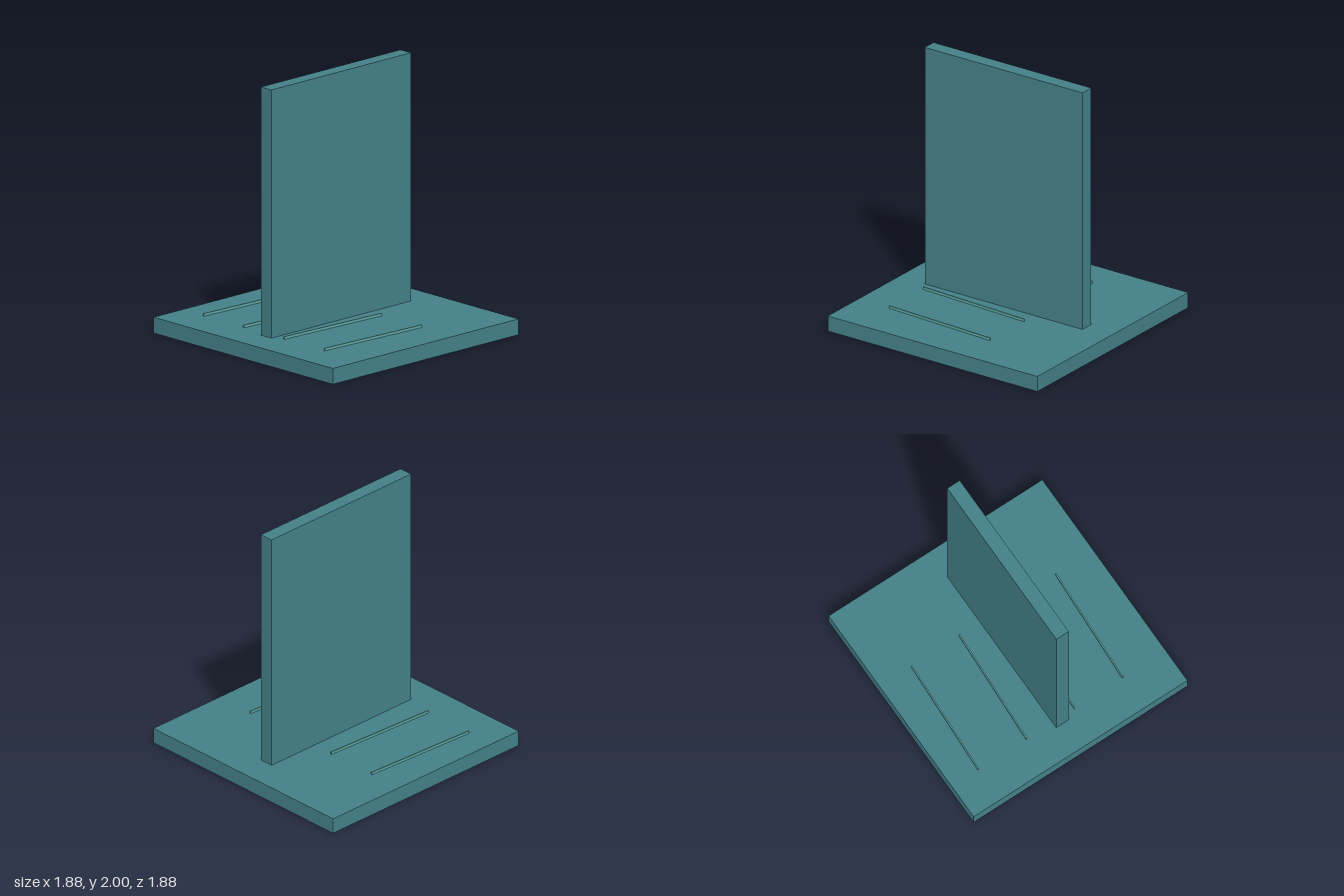
import * as THREE from 'three';

export function createModel() {
  const model = new THREE.Group();

  const teal = new THREE.MeshStandardMaterial({ color: 0x437f87 });
  teal.name = 'teal';
  const paleTeal = new THREE.MeshStandardMaterial({ color: 0x5fa8a3 });
  paleTeal.name = 'paleTeal';

  const addBox = (name, size, position, material) => {
    const mesh = new THREE.Mesh(new THREE.BoxGeometry(...size), material);
    mesh.name = name;
    mesh.position.set(...position);
    model.add(mesh);
    return mesh;
  };

  // Square base slab and the upright panel standing on it
  addBox('base', [1.88, 0.12, 1.88], [0, 0.06, 0], teal);
  addBox('uprightPanel', [1.414, 1.88, 0.11], [0, 1.06, 0], teal);

  // Four thin, slightly turned strips, evenly spaced on the base
  for (let i = 0; i < 4; i++) {
    const strip = addBox(`strip${i + 1}`, [0.94, 0.02, 0.01],
      [-0.19, 0.13, -0.684 + i * 0.423], paleTeal);
    strip.rotation.y = -0.05;
  }

  return model;
}
